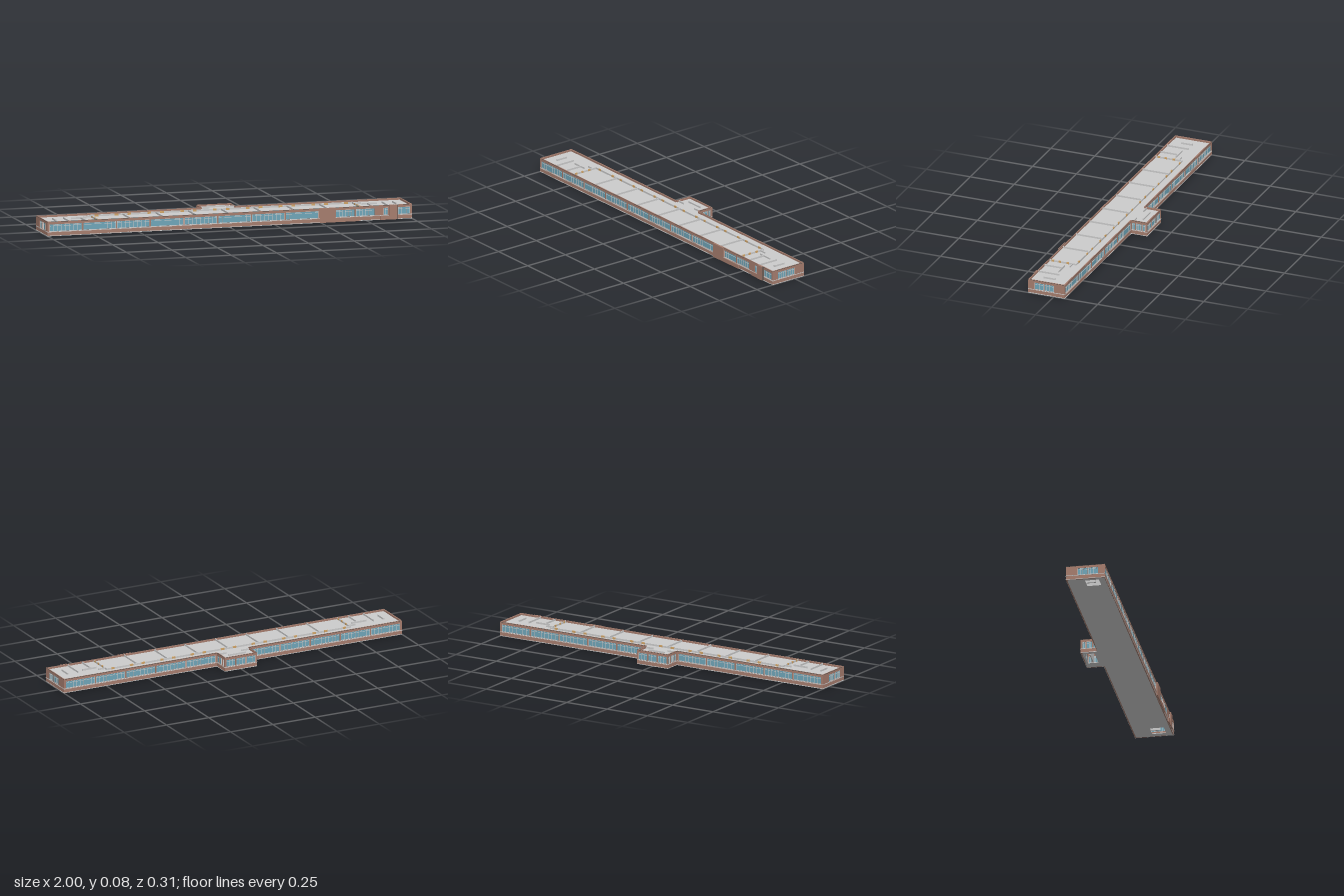
import * as THREE from 'three';

const mat = (color) => new THREE.MeshStandardMaterial({ color });
const M = {
  brick: mat(0xa67d6e), glass: mat(0x6fa5b8), frame: mat(0xd6d6d2),
  grey: mat(0xcccccc), door: mat(0xd0a468), dark: mat(0x4a4a48),
};
const H = 0.077, T = 0.006, SILL = 0.025, HEAD = 0.063, ROOF = 0.067;

// Outline of the building as [x, z], running anticlockwise seen from above
const OUTLINE = [
  [-1, 0.146], [1, 0.146], [1, -0.062], [0.095, -0.062],
  [0.095, -0.152], [-0.095, -0.152], [-0.095, -0.062], [-1, -0.062],
];

function box(parent, name, material, x0, x1, y0, y1, z0, z1) {
  const mesh = new THREE.Mesh(new THREE.BoxGeometry(x1 - x0, y1 - y0, z1 - z0), material);
  mesh.position.set((x0 + x1) / 2, (y0 + y1) / 2, (z0 + z1) / 2);
  mesh.name = name;
  parent.add(mesh);
  return mesh;
}

function planShape() {
  return new THREE.Shape(OUTLINE.map(([x, z]) => new THREE.Vector2(x, -z)));
}

function rectPath(x0, x1, y0, y1) {
  return new THREE.Path([[x0, y0], [x0, y1], [x1, y1], [x1, y0]].map((p) => new THREE.Vector2(...p)));
}

// Glazing with a frame, a transom and evenly spaced mullions
function windowUnit(parent, a, b, panes) {
  const f = 0.0016;
  box(parent, 'windowGlass', M.glass, a, b, SILL, HEAD, -0.004, -0.003);
  for (const y of [SILL, 0.053, HEAD - f]) box(parent, 'windowRail', M.frame, a, b, y, y + f, -0.005, -0.0015);
  for (let i = 0; i <= panes; i++) {
    const x = a + ((b - a - f) * i) / panes;
    box(parent, 'windowMullion', M.frame, x, x + f, SILL, HEAD, -0.005, -0.0015);
  }
}

// Straight outer wall, outside facing its local +z; windows are [start, end, panes] along it
function outerWall(name, p, q, windows) {
  const g = new THREE.Group();
  g.name = name;
  const len = Math.hypot(q[0] - p[0], q[1] - p[1]);
  const shape = new THREE.Shape([[0, 0], [len, 0], [len, H], [0, H]].map((v) => new THREE.Vector2(...v)));
  for (const [a, b] of windows) shape.holes.push(rectPath(a, b, SILL, HEAD));
  const geo = new THREE.ExtrudeGeometry(shape, { depth: T, bevelEnabled: false });
  geo.translate(0, 0, -T);
  const wall = new THREE.Mesh(geo, M.brick);
  wall.name = 'brickWall';
  g.add(wall);
  for (const w of windows) windowUnit(g, ...w);
  box(g, 'sillLedge', M.frame, 0, len, 0.0215, 0.0245, -0.001, 0.0015);
  box(g, 'baseStrip', M.frame, 0, len, 0, 0.003, -0.001, 0.0006);
  box(g, 'coping', M.dark, 0, len, H - 0.0015, H, -0.0015, 0.0006);
  g.position.set(p[0], 0, p[1]);
  g.rotation.y = -Math.atan2(q[1] - p[1], q[0] - p[0]);
  return g;
}

// Equal window bays between two positions, separated by brick piers
function bays(from, to, count, panes, pier = 0.007) {
  const step = (to - from) / count;
  return Array.from({ length: count }, (_, i) =>
    [from + i * step + pier / 2, from + (i + 1) * step - pier / 2, panes]);
}

export function createModel() {
  const model = new THREE.Group();
  model.name = 'schoolStorey';

  // Outer walls, in the order of the outline
  const projectionSide = [[0.004, 0.021, 2], [0.027, 0.058, 4], [0.064, 0.08, 2]];
  const projectionMirror = projectionSide.map(([a, b, n]) => [0.09 - b, 0.09 - a, n]);
  const plan = [
    ['frontWall', [...bays(0.008, 1.49, 8, 8), ...bays(1.58, 1.8, 2, 6), [1.845, 1.87, 2], [1.925, 1.99, 4]]],
    ['leftEndWall', [[0.036, 0.089, 4], [0.092, 0.146, 4]]],
    ['backWallLeft', bays(0.008, 0.9, 5, 8)],
    ['projectionLeftWall', projectionSide],
    ['projectionBackWall', bays(0.005, 0.185, 3, 3)],
    ['projectionRightWall', projectionMirror],
    ['backWallRight', bays(0.005, 0.897, 5, 8)],
    ['rightEndWall', [[0.062, 0.116, 4], [0.119, 0.172, 4]]],
  ];
  plan.forEach(([name, windows], i) =>
    model.add(outerWall(name, OUTLINE[i], OUTLINE[(i + 1) % OUTLINE.length], windows)));

  // Brick facings standing proud of the front
  box(model, 'entranceFacing', M.brick, 0.495, 0.58, 0, H, 0.146, 0.152);
  box(model, 'lowFacing', M.brick, 0.58, 0.71, 0, 0.022, 0.146, 0.151);
  box(model, 'sideEntranceFacing', M.brick, 0.875, 0.92, 0, H, 0.146, 0.152);
  box(model, 'lowFacing', M.brick, 0.825, 0.875, 0, 0.022, 0.146, 0.151);
  box(model, 'downpipe', M.dark, 0.918, 0.922, 0, H, 0.146, 0.152);

  // Floor with three stairwell openings
  const floorShape = planShape();
  const wells = [[0.895, 0.965, 0.035, 0.11], [-0.975, -0.905, 0.035, 0.11], [-0.075, 0.04, -0.135, -0.08]];
  for (const [x0, x1, z0, z1] of wells) floorShape.holes.push(rectPath(x0, x1, -z1, -z0));
  const floor = new THREE.Mesh(new THREE.ExtrudeGeometry(floorShape, { depth: 0.004, bevelEnabled: false }), M.grey);
  floor.rotation.x = -Math.PI / 2;
  floor.name = 'floor';
  model.add(floor);

  // Upward-facing deck set a little below the wall tops
  const deck = new THREE.Mesh(new THREE.ShapeGeometry(planShape()), M.grey);
  deck.rotation.x = -Math.PI / 2;
  deck.position.y = ROOF;
  deck.name = 'upperDeck';
  model.add(deck);

  // Inner walls: corridor, classroom partitions and end rooms
  const inner = new THREE.Group();
  inner.name = 'innerWalls';
  model.add(inner);
  const wall = (name, x0, x1, z0, z1) => box(inner, name, M.grey, x0, x1, 0.004, H - 0.0005, z0, z1);
  wall('corridorWall', -0.72, 0.72, -0.012, -0.008);
  for (let i = 0; i <= 8; i++) {
    const x = -0.72 + i * 0.18;
    wall('partition', x - 0.002, x + 0.002, -0.012, 0.14);
    if (i === 8) continue;
    for (const dx of [0.025, 0.135])
      box(inner, 'classroomDoor', M.door, x + dx, x + dx + 0.02, 0.004, H, -0.0125, -0.0075);
  }
  for (const s of [-1, 1]) {
    const wallS = (name, a, b, z0, z1) => wall(name, Math.min(s * a, s * b), Math.max(s * a, s * b), z0, z1);
    wallS('stairDivider', 0.93, 0.938, 0.02, 0.085);
    wallS('stairWall', 0.872, 0.876, 0.02, 0.14);
    wallS('washroomWall', 0.785, 0.789, 0.04, 0.14);
    wallS('washroomWall', 0.755, 0.84, 0.038, 0.042);
    wallS('washroomWall', 0.72, 0.76, 0.008, 0.012);
    for (const z of [0.03, 0.075, 0.115])
      box(inner, 'endDoor', M.door, s * 0.72 - 0.0025, s * 0.72 + 0.0025, 0.004, H, z, z + 0.015);
  }
  wall('projectionStairDivider', -0.05, 0.05, -0.112, -0.106);
  wall('projectionWall', -0.089, -0.045, -0.074, -0.07);
  wall('projectionWall', 0.045, 0.089, -0.074, -0.07);
  return model;
}
